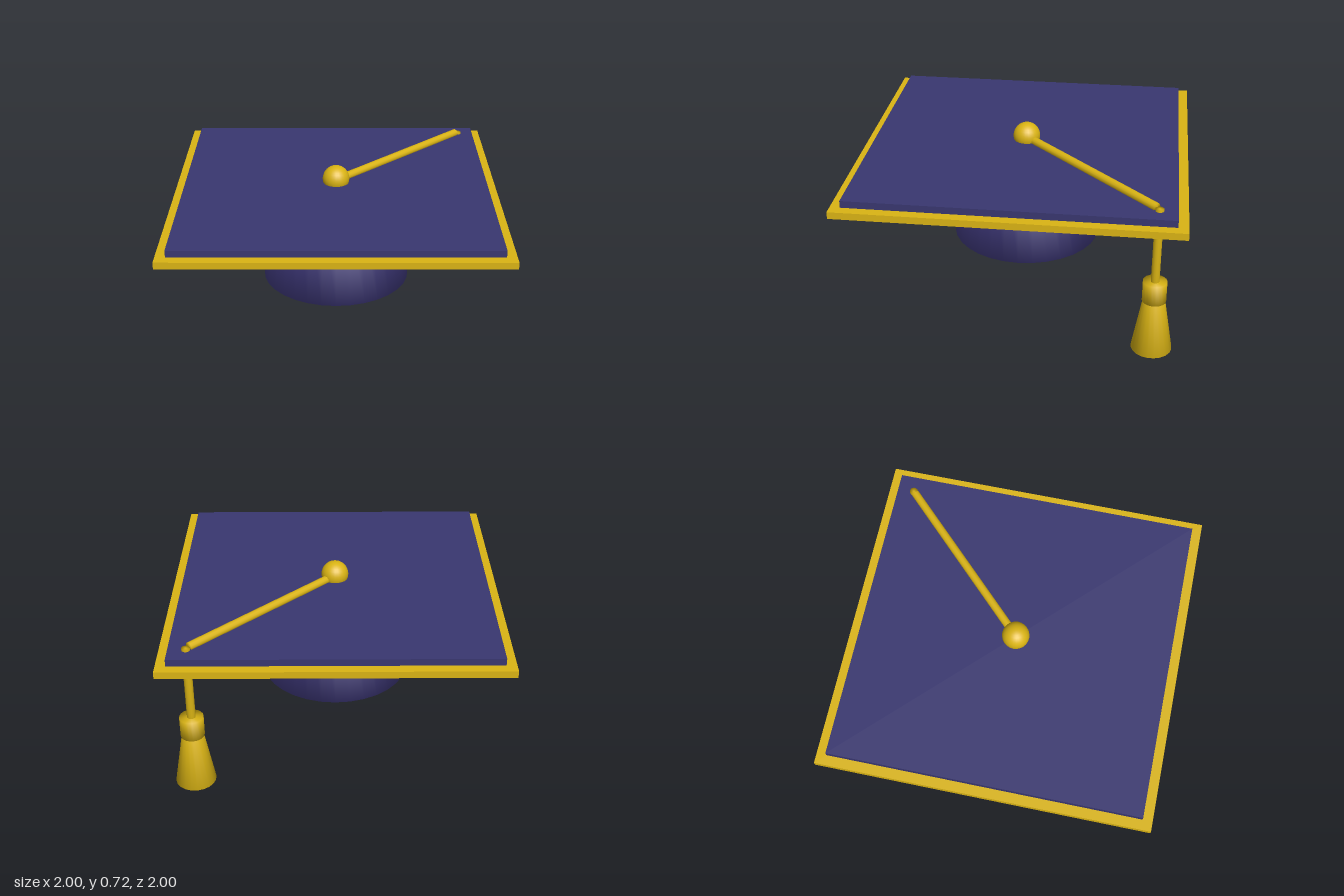
import * as THREE from 'three';

const material = (name, color) => {
  const m = new THREE.MeshStandardMaterial({ color });
  m.name = name;
  return m;
};

export function createModel() {
  const gold = material('gold', 0xdab414);
  const navy = material('boardNavy', 0x393770);
  const violet = material('capViolet', 0x4a4390);
  const group = new THREE.Group();

  const add = (name, geometry, mat, x = 0, y = 0, z = 0) => {
    const mesh = new THREE.Mesh(geometry, mat);
    mesh.name = name;
    mesh.position.set(x, y, z);
    group.add(mesh);
    return mesh;
  };

  // Closed, softly shaded frustum turned around the y axis
  const frustum = (r0, y0, r1, y1, sides) => new THREE.LatheGeometry(
    [[0, y0], [r0, y0], [r1, y1], [0, y1]].map(([r, y]) => new THREE.Vector2(r, y)), sides);

  // Square plate turned so its corners point along x and z
  const plate = (name, halfDiagonal, y0, y1, mat) => {
    const side = halfDiagonal * Math.SQRT2;
    const mesh = add(name, new THREE.BoxGeometry(side, y1 - y0, side), mat, 0, (y0 + y1) / 2);
    mesh.rotation.y = Math.PI / 4;
  };

  // Skull cap and the two layers of the board
  add('skullCap', frustum(0.327, 0.2, 0.28, 0.59, 32), violet);
  plate('boardTrim', 1, 0.583, 0.613, gold);
  plate('boardTop', 0.94, 0.605, 0.643, navy);

  // Button and the cord running out to the corner
  add('button', new THREE.SphereGeometry(0.059, 24, 16), gold, 0, 0.66);
  const cord = add('cordAcross', frustum(0.018, 0, 0.018, 0.82, 12), gold, 0, 0.651);
  cord.rotation.z = -Math.PI / 2;

  // Hanging cord and tassel
  const tasselX = 0.836;
  add('cordDown', frustum(0.018, 0.3, 0.018, 0.652, 12), gold, tasselX);
  add('tasselKnot', frustum(0.05, 0.23, 0.05, 0.32, 20), gold, tasselX);
  add('tasselSkirt', frustum(0.085, 0, 0.045, 0.235, 20), gold, tasselX);

  return group;
}
